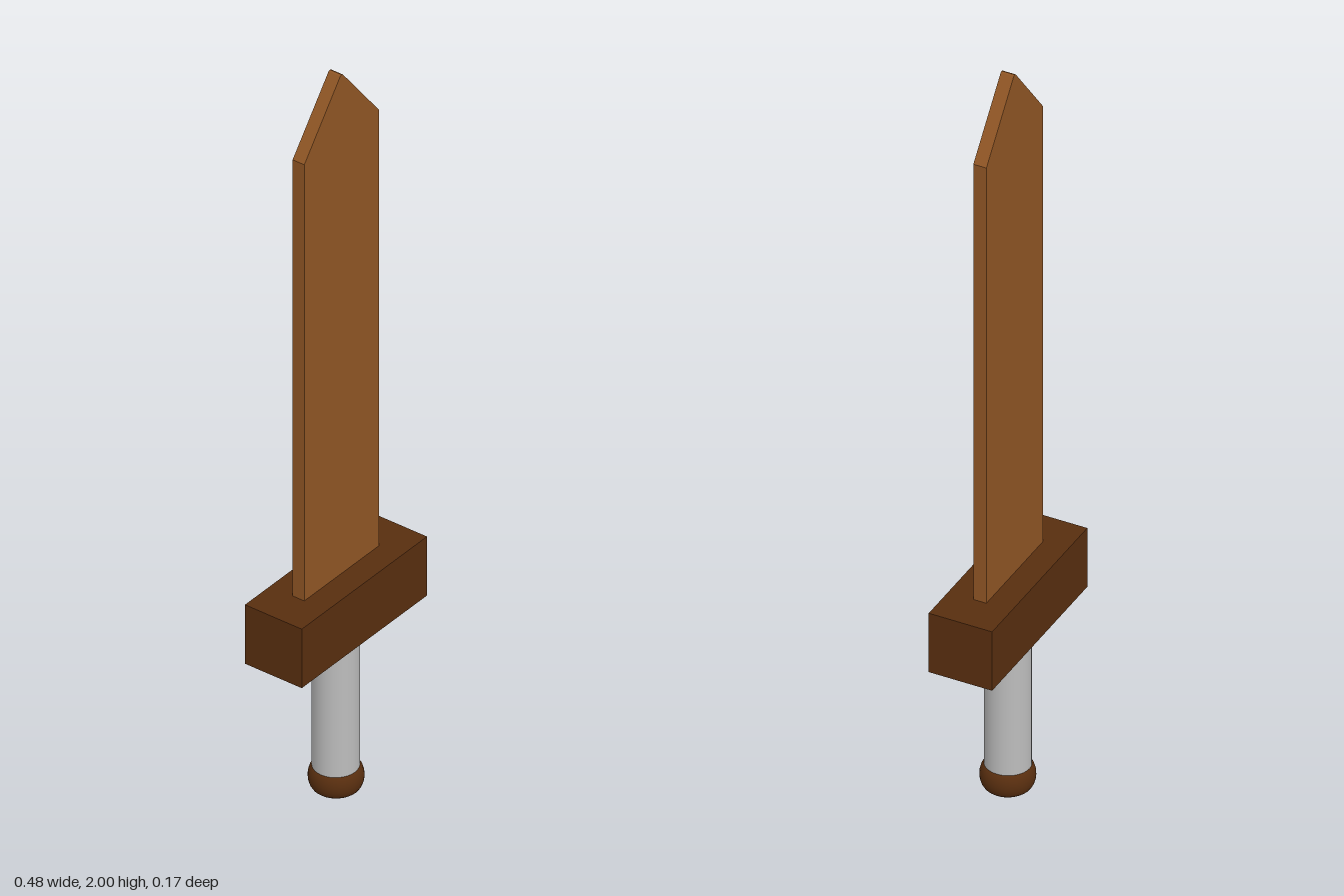
import * as THREE from 'three';

export function createModel() {
  const model = new THREE.Group();
  model.name = 'sword';

  const material = (name, color) => {
    const m = new THREE.MeshStandardMaterial({ color });
    m.name = name;
    return m;
  };
  const bladeWood = material('blade wood', 0x8f5524);
  const darkWood = material('dark wood', 0x582e0f);
  const gripGrey = material('grip grey', 0xbcbcbc);

  const add = (name, geometry, mat, x, y, z) => {
    const mesh = new THREE.Mesh(geometry, mat);
    mesh.name = name;
    mesh.position.set(x, y, z);
    model.add(mesh);
  };

  // Flat blade with a slightly blunted point
  const outline = new THREE.Shape([
    [-0.142, 0.58], [0.142, 0.58], [0.142, 1.825],
    [0.005, 1.998], [0, 2], [-0.005, 1.998], [-0.142, 1.825],
  ].map(([x, y]) => new THREE.Vector2(x, y)));
  const blade = new THREE.ExtrudeGeometry(outline, { depth: 0.034, bevelEnabled: false });
  add('blade', blade, bladeWood, -0.001, 0, -0.018);

  // Block crossguard
  add('crossguard', new THREE.BoxGeometry(0.477, 0.165, 0.165), darkWood, 0, 0.522, -0.001);

  // Round grip
  add('grip', new THREE.CylinderGeometry(0.056, 0.056, 0.39, 32), gripGrey, -0.002, 0.25, 0);

  // Rounded pommel with flat ends
  const profile = [[0, 0], [0.043, 0]];
  for (let i = 0; i <= 10; i++) {
    const a = -Math.PI / 2 + (Math.PI * i) / 10;
    profile.push([0.045 + 0.021 * Math.cos(a), 0.036 + 0.035 * Math.sin(a)]);
  }
  profile.push([0, 0.071]);
  const pommel = new THREE.LatheGeometry(profile.map(([r, y]) => new THREE.Vector2(r, y)), 32);
  add('pommel', pommel, darkWood, -0.001, 0, 0);

  return model;
}
